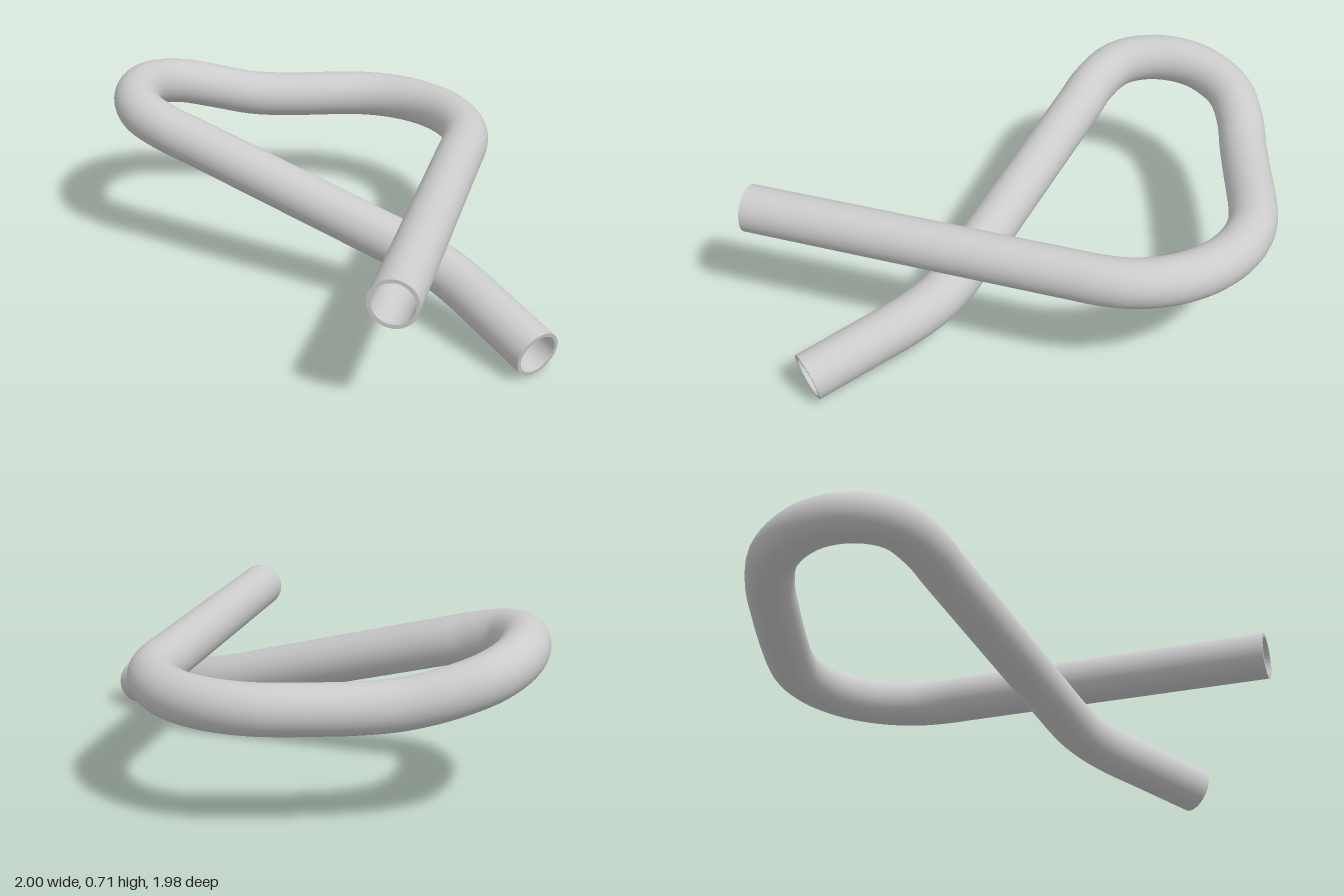
import * as THREE from 'three';

const OUTER = 0.095, INNER = 0.08, SIDES = 32, STEPS = 160;

// Centre line: straight run, level bend, straight run, rising bend, sloping run, slight bend
function centreLine() {
  const pts = [];
  const add = (x, y, z) => pts.push(new THREE.Vector3(x, y, z));
  for (const z of [0.99, 0.6, 0.2, -0.15, -0.33]) add(0.48, 0.472, z);
  for (let i = 0; i <= 8; i++) {
    const a = (i / 8) * 1.892;
    add(0.48 * Math.cos(a), 0.472, -0.415 - 0.48 * Math.sin(a));
  }
  [
    [-0.25, 0.472, -0.84], [-0.38, 0.473, -0.797], [-0.53, 0.485, -0.747],
    [-0.68, 0.52, -0.697], [-0.81, 0.562, -0.62], [-0.885, 0.595, -0.5],
    [-0.905, 0.614, -0.375], [-0.88, 0.616, -0.235], [-0.81, 0.602, -0.125],
    [-0.68, 0.568, -0.062],
  ].forEach((p) => add(...p));
  for (const x of [-0.55, -0.25, 0.05, 0.25, 0.35]) add(x, 0.372 - 0.29 * x, 0.085 + 0.218 * x);
  [[0.44, 0.244, 0.187], [0.53, 0.217, 0.231], [0.62, 0.19, 0.294], [0.74, 0.155, 0.397], [0.935, 0.097, 0.565]]
    .forEach((p) => add(...p));
  return new THREE.CatmullRomCurve3(pts, false, 'centripetal');
}

export function createModel() {
  const group = new THREE.Group();
  group.name = 'bentPipe';
  const curve = centreLine();
  const grey = new THREE.MeshStandardMaterial({ color: 0xcccccc });
  const inside = new THREE.MeshStandardMaterial({ color: 0xcccccc, side: THREE.BackSide });

  // Outer and inner walls
  const wall = (name, radius, material) => {
    const mesh = new THREE.Mesh(new THREE.TubeGeometry(curve, STEPS, radius, SIDES), material);
    mesh.name = name;
    group.add(mesh);
  };
  wall('outerWall', OUTER, grey);
  wall('innerWall', INNER, inside);

  // Rims joining the walls at both open ends
  for (const [name, t, dir] of [['backRunRim', 0, -1], ['slopingRunRim', 1, 1]]) {
    const rim = new THREE.Mesh(new THREE.RingGeometry(INNER, OUTER, SIDES), grey);
    rim.name = name;
    rim.position.copy(curve.getPointAt(t));
    rim.quaternion.setFromUnitVectors(new THREE.Vector3(0, 0, 1), curve.getTangentAt(t).multiplyScalar(dir));
    group.add(rim);
  }
  return group;
}
